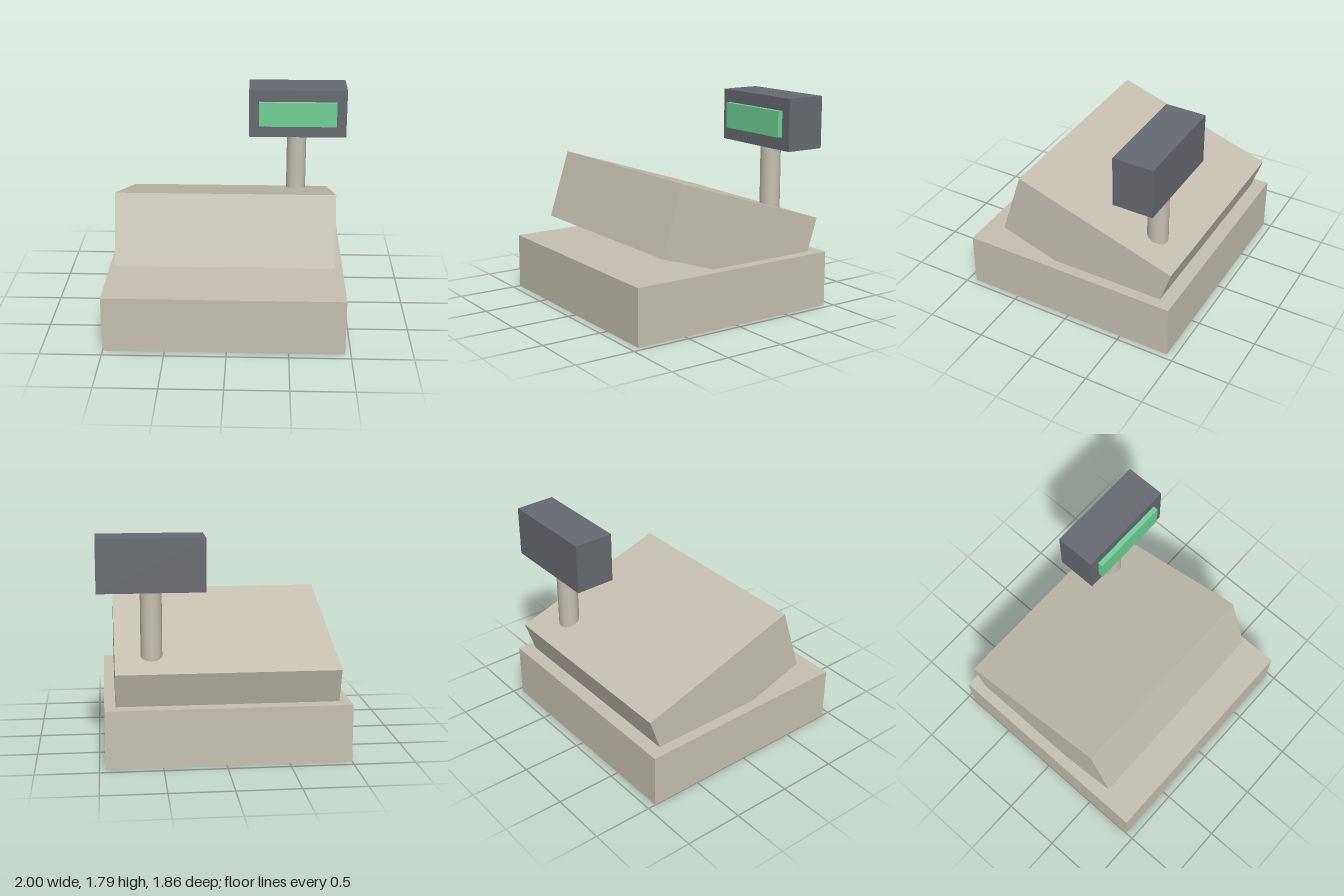
import * as THREE from 'three';

export function createModel() {
  const model = new THREE.Group();
  model.name = 'cashRegister';

  const material = (name, color) => {
    const m = new THREE.MeshStandardMaterial({ color });
    m.name = name;
    return m;
  };
  const beige = material('beige casing', 0xc4bfb1);
  const charcoal = material('charcoal housing', 0x66696f);
  const green = material('green screen', 0x6fcf97);

  const add = (name, geometry, mat, x, y, z) => {
    const mesh = new THREE.Mesh(geometry, mat);
    mesh.name = name;
    mesh.position.set(x, y, z);
    model.add(mesh);
    return mesh;
  };

  // Cash drawer base
  add('drawerBase', new THREE.BoxGeometry(1.953, 0.468, 1.864), beige, -0.0235, 0.234, 0);

  // Body, tilted up at the front and sunk into the base at the back
  const body = add('body', new THREE.BoxGeometry(1.777, 0.592, 1.445), beige, -0.0225, 0.686, -0.125);
  body.rotation.x = -0.313;

  // Pole, rising from inside the body
  const poleBottom = 0.72, poleTop = 1.38;
  add('pole', new THREE.CylinderGeometry(0.086, 0.086, poleTop - poleBottom, 12), beige,
    0.573, (poleTop + poleBottom) / 2, -0.634);

  // Customer display and its raised screen
  add('displayHousing', new THREE.BoxGeometry(0.85, 0.424, 0.338), charcoal, 0.575, 1.576, -0.635);
  add('displayScreen', new THREE.BoxGeometry(0.676, 0.212, 0.06), green, 0.574, 1.577, -0.454);

  return model;
}
